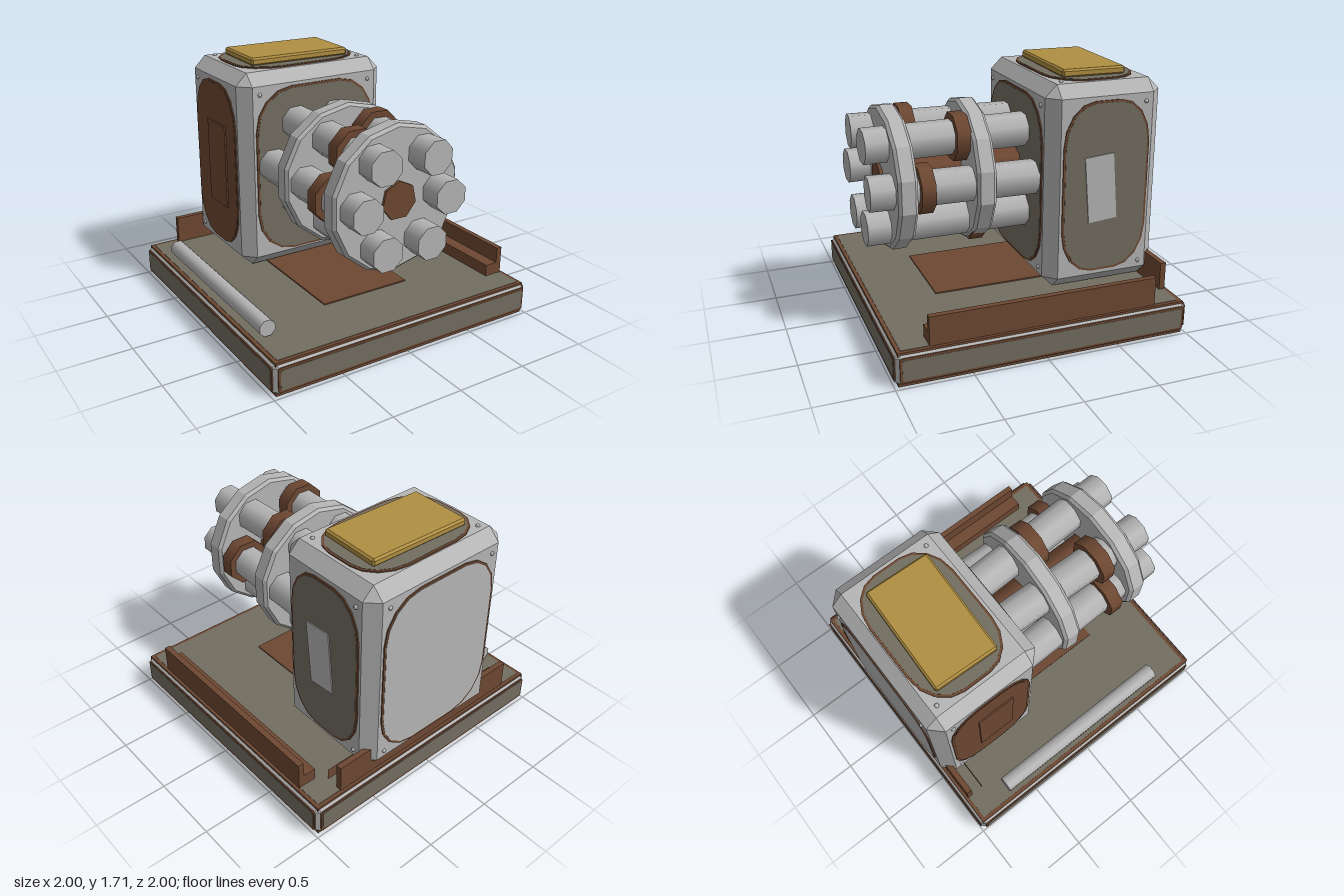
import * as THREE from 'three';
import { ConvexGeometry } from 'three/addons/geometries/ConvexGeometry.js';
import { toCreasedNormals } from 'three/addons/utils/BufferGeometryUtils.js';

const mat = (name, color) => {
  const m = new THREE.MeshStandardMaterial({ color });
  m.name = name;
  return m;
};

export function createModel() {
  const model = new THREE.Group();
  model.name = 'rotaryGunTurret';
  const steel = mat('steel', 0xb6b6b6);
  const olive = mat('olive', 0x736e61);
  const rust = mat('rust brown', 0x6e4832);
  const gold = mat('gold', 0xb08f42);

  const add = (name, geo, material, x = 0, y = 0, z = 0, parent = model) => {
    const m = new THREE.Mesh(geo, material);
    m.name = name;
    m.position.set(x, y, z);
    parent.add(m);
    return m;
  };
  const box = (name, material, x0, x1, y0, y1, z0, z1) =>
    add(name, new THREE.BoxGeometry(x1 - x0, y1 - y0, z1 - z0), material,
      (x0 + x1) / 2, (y0 + y1) / 2, (z0 + z1) / 2);

  // Box with every edge cut by c
  const chamferBox = (w, h, d, c) => {
    const pts = [];
    for (const sx of [-1, 1]) for (const sy of [-1, 1]) for (const sz of [-1, 1])
      for (let full = 0; full < 3; full++) {
        const half = [w / 2, h / 2, d / 2].map((v, i) => (i === full ? v : v - c));
        pts.push(new THREE.Vector3(sx * half[0], sy * half[1], sz * half[2]));
      }
    return new ConvexGeometry(pts);
  };

  // Flat plate with elliptical corners of few segments
  const roundedPlate = (w, h, rx, ry, depth) => {
    const pts = [];
    for (let q = 0; q < 4; q++) {
      const sx = q === 0 || q === 3 ? 1 : -1, sy = q < 2 ? 1 : -1;
      for (let i = 0; i <= 4; i++) {
        const a = (q + i / 4) * Math.PI / 2;
        pts.push(new THREE.Vector2(sx * (w / 2 - rx) + rx * Math.cos(a), sy * (h / 2 - ry) + ry * Math.sin(a)));
      }
    }
    return new THREE.ExtrudeGeometry(new THREE.Shape(pts), { depth, bevelEnabled: false });
  };

  // Bordered panel facing local +z, placed on one side of a block
  const panel = (name, w, h, rx, ry, face, pos, rot, t = 0.008) => {
    const g = new THREE.Group();
    g.name = name;
    g.position.set(...pos);
    g.rotation.set(...rot);
    add(name + 'Border', roundedPlate(w, h, rx, ry, t), rust, 0, 0, 0, g);
    add(name + 'Face', roundedPlate(w - 0.03, h - 0.03, rx * 0.95, ry * 0.95, t + 0.002), face, 0, 0, 0, g);
    model.add(g);
    return g;
  };

  // Straight rod between two points
  const rod = (name, a, b, r, sides, material) => {
    const from = new THREE.Vector3(...a), dir = new THREE.Vector3(...b).sub(from);
    const geo = new THREE.CylinderGeometry(r, r, dir.length(), sides, 1, false, Math.PI / sides);
    const m = add(name, geo, material);
    m.position.copy(from).addScaledVector(dir, 0.5);
    m.quaternion.setFromUnitVectors(new THREE.Vector3(0, 1, 0), dir.normalize());
    return m;
  };

  // Base slab with panels on its faces
  add('baseFrame', chamferBox(1.984, 0.222, 1.984, 0.03), steel, 0, 0.117, 0);
  box('baseTopBorder', rust, -0.975, 0.975, 0.2, 0.23, -0.975, 0.975);
  box('baseTop', olive, -0.95, 0.95, 0.2, 0.233, -0.95, 0.95);
  box('baseBottomBorder', rust, -0.975, 0.975, 0.003, 0.04, -0.975, 0.975);
  box('baseBottom', olive, -0.965, 0.965, 0, 0.04, -0.965, 0.965);
  for (let i = 0; i < 4; i++) {
    const a = i * Math.PI / 2;
    panel('baseSide', 1.935, 0.168, 0.02, 0.02, olive,
      [0.99 * Math.sin(a), 0.12, 0.99 * Math.cos(a)], [0, a, 0]);
  }
  box('floorPatch', rust, -0.36, 0.3, 0.22, 0.242, -0.4, 0.53);

  // Stepped rails along the side and the back
  box('sideRailStep', rust, 0.825, 0.92, 0.225, 0.315, -0.77, 0.77);
  box('sideRailWall', rust, 0.915, 0.955, 0.225, 0.425, -0.77, 0.77);
  box('backRailStep', rust, -0.77, 0.77, 0.225, 0.315, -0.83, -0.92);
  box('backRailWall', rust, -0.77, 0.77, 0.225, 0.425, -0.955, -0.915);
  rod('spareTube', [-0.87, 0.295, -0.69], [-0.87, 0.295, 0.69], 0.058, 8, steel);

  // Housing with one panel per face
  const cz = -0.573, H = Math.PI / 2;
  add('housing', chamferBox(1.14, 1.4, 0.82, 0.082), steel, 0, 0.95, cz);
  panel('frontPanel', 0.94, 1.2, 0.28, 0.3, olive, [0, 0.945, -0.163], [0, 0, 0]);
  panel('backPanel', 0.94, 1.2, 0.28, 0.3, steel, [0, 0.945, -0.983], [0, Math.PI, 0]);
  panel('topPanel', 0.93, 0.63, 0.27, 0.22, olive, [0, 1.65, -0.58], [-H, 0, 0]);
  const leftPanel = panel('leftPanel', 0.62, 1.18, 0.22, 0.3, olive, [0.57, 0.95, cz], [0, H, 0]);
  const rightPanel = panel('rightPanel', 0.62, 1.18, 0.22, 0.3, rust, [-0.57, 0.95, cz], [0, -H, 0]);
  const plate = add('leftPlate', new THREE.BoxGeometry(0.207, 0.457, 0.01), steel, -0.036, 0, 0.012, leftPanel);
  plate.rotation.z = 0.087;
  add('rightPlate', new THREE.BoxGeometry(0.27, 0.6, 0.016), rust, 0.03, 0, 0.012, rightPanel);
  const cap = add('topPlate', chamferBox(0.755, 0.055, 0.45, 0.013), gold, 0, 1.685, -0.575);
  cap.rotation.y = -0.035;

  // Small bolts at the housing corners
  const bolt = (x, y, z) => add('bolt', new THREE.SphereGeometry(0.015, 8, 6), steel, x, y, z);
  for (const [x, y] of [[-0.435, 1.51], [0.43, 1.51], [0.43, 0.38]]) {
    bolt(x, y, -0.163);
    bolt(x, y, -0.983);
  }
  for (const y of [0.38, 1.51]) for (const s of [-1, 1]) bolt(s * 0.57, y, -0.85);
  bolt(-0.43, 1.65, -0.855);
  bolt(0.43, 1.65, -0.3);

  // Barrels: back x, front x, height, collar position along z (or null)
  const barrels = [
    [0.15, 0.19, 1.285, 0.32], [-0.16, -0.195, 1.285, 0.59],
    [0.345, 0.305, 1.005, 0.605], [-0.345, -0.32, 1.005, 0.575],
    [0.17, 0.17, 0.72, 0.22], [-0.17, -0.17, 0.72, null],
  ];
  const z0 = -0.2, z1 = 0.965;
  for (const [xb, xf, y, zc] of barrels) {
    rod('barrel', [xb, y, z0], [xf, y, z1], 0.118, 8, steel);
    if (zc === null) continue;
    const x = xb + (xf - xb) * (zc - z0) / (z1 - z0);
    rod('barrelCollar', [x, y, zc - 0.047], [x, y, zc + 0.047], 0.165, 8, rust);
  }
  rod('centreShaft', [0, 1, -0.2], [0, 1, 0.835], 0.13, 7, rust);

  // Discs that clamp the barrels
  const r = 0.49, h = 0.065, c = 0.02;
  const profile = [[0, -h], [r - c, -h], [r, c - h], [r, h - c], [r - c, h], [0, h]]
    .map(([x, y]) => new THREE.Vector2(x, y));
  const discGeo = toCreasedNormals(new THREE.LatheGeometry(profile, 14).rotateX(H), 0.1);
  add('frontDisc', discGeo, steel, 0, 1.005, 0.75).rotation.y = 0.02;
  add('rearDisc', discGeo, steel, 0, 1.005, 0.205).rotation.y = -0.03;

  return model;
}
